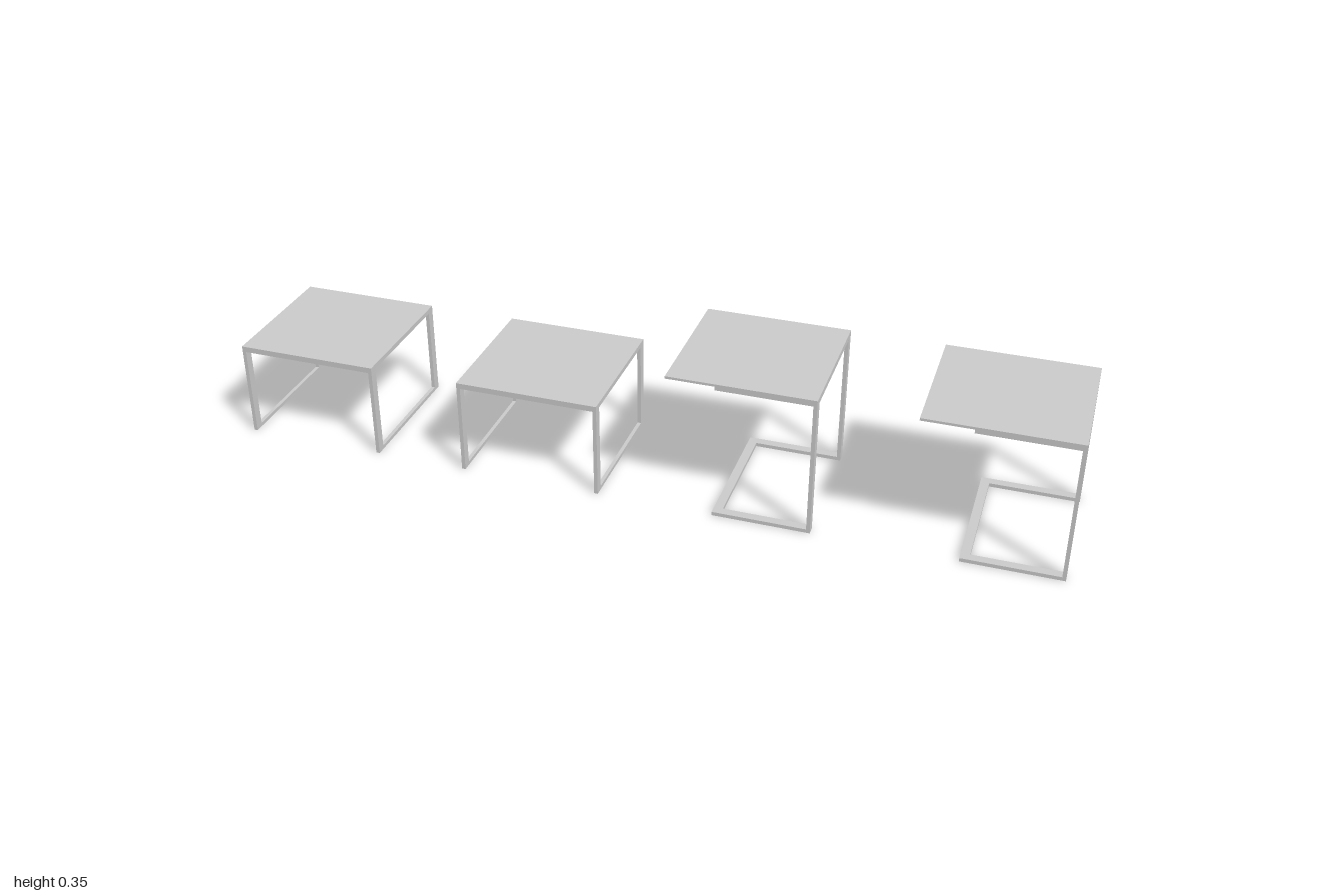
import * as THREE from 'three';

const DEPTH = 0.34; // overall depth of every table
const BAR_W = 0.021; // wide side of the flat steel bar
const BAR_T = 0.009; // thin side of the flat steel bar
const PANEL_T = 0.006;
const LEG_Z = (DEPTH - BAR_W) / 2;

const material = new THREE.MeshStandardMaterial({ color: 0xcccccc });

// Box given by its minimum and maximum on each axis
function bar(group, name, [x0, x1], [y0, y1], [z0, z1]) {
  const mesh = new THREE.Mesh(new THREE.BoxGeometry(x1 - x0, y1 - y0, z1 - z0), material);
  mesh.position.set((x0 + x1) / 2, (y0 + y1) / 2, (z0 + z1) / 2);
  mesh.name = name;
  group.add(mesh);
}

const acrossZ = [-DEPTH / 2 + BAR_W, DEPTH / 2 - BAR_W];
const sideZ = (s) => [s * LEG_Z - BAR_W / 2, s * LEG_Z + BAR_W / 2];

// Thin top; with notches, two corners at one end are cut out for the leg tops
function tabletop(group, x0, x1, top, notchSide) {
  const h = DEPTH / 2, n = h - BAR_W;
  const end = notchSide < 0 ? x0 : x1, far = notchSide < 0 ? x1 : x0;
  const inner = end - notchSide * BAR_T;
  const outline = [[far, -h], [inner, -h], [inner, -n], [end, -n], [end, n], [inner, n], [inner, h], [far, h]];
  const shape = new THREE.Shape(outline.map(([x, z]) => new THREE.Vector2(x, z)));
  const geometry = new THREE.ExtrudeGeometry(shape, { depth: PANEL_T, bevelEnabled: false });
  geometry.rotateX(-Math.PI / 2);
  geometry.translate(0, top - PANEL_T, 0);
  const mesh = new THREE.Mesh(geometry, material);
  mesh.name = 'tabletop';
  group.add(mesh);
}

// Low table: a closed rectangular frame at each end, joined by long rails
function lowTable(x0, x1, notched) {
  const table = new THREE.Group();
  table.name = 'lowTable';
  const top = 0.238, under = top - PANEL_T;
  for (const x of [x0, x1 - BAR_T]) {
    const first = x === x0;
    for (const s of [-1, 1]) bar(table, 'leg', [x, x + BAR_T], [0, first ? top : under], sideZ(s));
    bar(table, 'floorRail', [x, x + BAR_T], [0, BAR_T], acrossZ);
    bar(table, 'endRail', [x, x + BAR_T], [under - 0.006, first && !notched ? top : under], acrossZ);
  }
  for (const s of [-1, 1]) bar(table, 'longRail', [x0 + BAR_T, x1 - BAR_T], [under - 0.008, under], sideZ(s));
  if (notched) tabletop(table, x0, x1, top, -1);
  else bar(table, 'tabletop', [x0 + BAR_T, x1], [under, top], [-DEPTH / 2, DEPTH / 2]);
  return table;
}

// High table: a C-shaped frame with legs at +x and a cantilevered top
function highTable(x0, x1, notched) {
  const table = new THREE.Group();
  table.name = 'highTable';
  const top = 0.349, under = top - PANEL_T, footX = x1 - 0.232;
  for (const s of [-1, 1]) {
    bar(table, 'leg', [x1 - BAR_T, x1], [0, top], sideZ(s));
    bar(table, 'footRail', [footX, x1 - BAR_T], [0, BAR_T], sideZ(s));
    bar(table, 'topRail', [footX, x1 - BAR_T], [under - BAR_T, under], sideZ(s));
  }
  bar(table, 'footCrossbar', [footX, footX + BAR_W], [0, BAR_T], acrossZ);
  bar(table, 'topCrossbar', [footX, footX + BAR_W], [under - BAR_T, under], acrossZ);
  bar(table, 'endRail', [x1 - BAR_T, x1], [under - BAR_T, notched ? under : top], acrossZ);
  if (notched) tabletop(table, x0, x1, top, 1);
  else bar(table, 'tabletop', [x0, x1 - BAR_T], [under, top], [-DEPTH / 2, DEPTH / 2]);
  return table;
}

export function createModel() {
  const model = new THREE.Group();
  model.name = 'sideTables';
  model.add(
    lowTable(-1, -0.652, true),
    lowTable(-0.432, -0.084, false),
    highTable(0.08, 0.427, true),
    highTable(0.648, 0.997, false),
  );
  return model;
}
